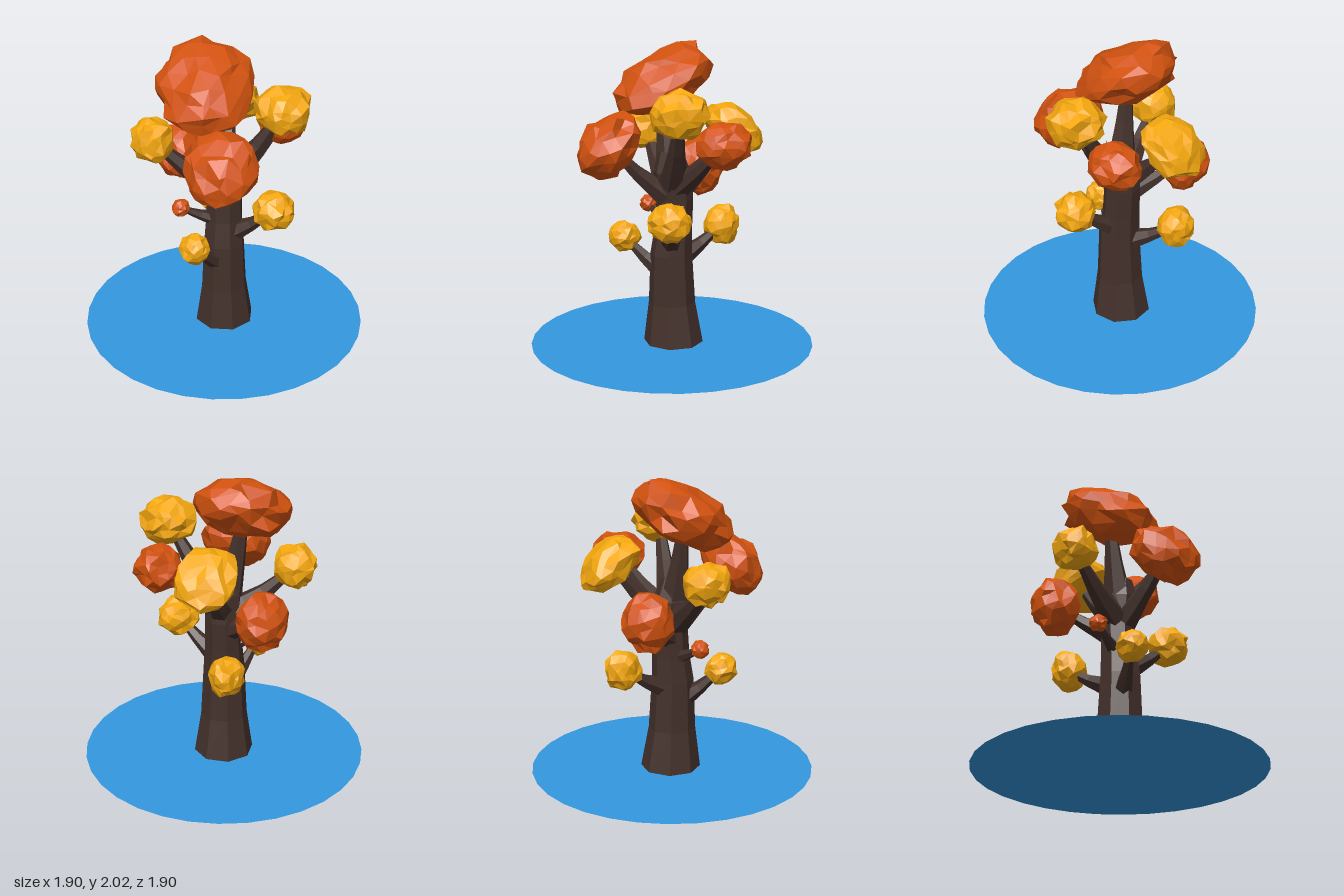
import * as THREE from 'three';

const mat = (color, extra = {}) => new THREE.MeshStandardMaterial({ color, flatShading: true, ...extra });
const BARK = mat(0x43302a);
const ORANGE = mat(0xd2520f);
const YELLOW = mat(0xf5a80f);
const BLUE = mat(0x3498e0, { side: THREE.DoubleSide });

function addMesh(group, name, geometry, material) {
  const mesh = new THREE.Mesh(geometry, material);
  mesh.name = name;
  group.add(mesh);
}

// Repeatable value in -1..1 from a position, so shared corners move together
function noise(v, seed) {
  const q = (n) => Math.round(n * 1000) / 1000;
  const s = Math.sin(q(v.x) * 127.1 + q(v.y) * 311.7 + q(v.z) * 74.7 + seed * 19.19) * 43758.5453;
  return (s - Math.floor(s)) * 2 - 1;
}

// Eight-sided trunk: each row is [y, centre z, radius]
function trunkGeometry() {
  const rows = [
    [0, -0.01, 0.2], [0.28, 0, 0.157], [0.62, 0.005, 0.14], [0.8, -0.01, 0.125],
    [1, -0.02, 0.122], [1.18, 0, 0.125], [1.32, 0.01, 0.08],
  ];
  const sides = 8;
  const geo = new THREE.CylinderGeometry(1, 1, 1, sides, rows.length - 1, true, Math.PI / sides);
  const p = geo.attributes.position;
  for (let i = 0; i < p.count; i++) {
    const [y, cz, r] = rows[rows.length - 1 - Math.floor(i / (sides + 1))];
    p.setXYZ(i, p.getX(i) * r, y, cz + p.getZ(i) * r);
  }
  geo.computeVertexNormals();
  return geo;
}

// Six-sided limb from inside the trunk to a clump, sagging slightly and thinning
function limbGeometry(center, rootY, radius) {
  const end = new THREE.Vector3(...center);
  const root = new THREE.Vector3(end.x * 0.1, rootY, end.z * 0.1);
  const bend = root.clone().lerp(end, 0.5);
  bend.y -= 0.07 * (end.y - rootY);
  const curve = new THREE.CatmullRomCurve3([root, bend, end]);
  const steps = 4, sides = 6;
  const geo = new THREE.TubeGeometry(curve, steps, 1, sides);
  const p = geo.attributes.position, v = new THREE.Vector3();
  for (let i = 0; i < p.count; i++) {
    const t = Math.floor(i / (sides + 1)) / steps;
    const c = curve.getPointAt(t);
    const r = radius * (0.33 + 0.67 * (1 - t) ** 1.5);
    v.fromBufferAttribute(p, i).sub(c).multiplyScalar(r).add(c);
    p.setXYZ(i, v.x, v.y, v.z);
  }
  geo.computeVertexNormals();
  return geo;
}

// Rough faceted clump with given half sizes; slope leans it down towards +z
function clumpGeometry(center, [hx, hy, hz], slope, seed) {
  const geo = new THREE.IcosahedronGeometry(0.97, 2);
  const p = geo.attributes.position, v = new THREE.Vector3(), o = new THREE.Vector3();
  const thick = Math.sqrt(hy * hy - (slope * hz) ** 2);
  for (let i = 0; i < p.count; i++) {
    v.fromBufferAttribute(p, i);
    o.set(noise(v, seed), noise(v, seed + 1), noise(v, seed + 2));
    v.addScaledVector(o, 0.12);
    p.setXYZ(i, v.x * hx, v.y * thick - v.z * hz * slope, v.z * hz);
  }
  geo.translate(...center);
  geo.computeVertexNormals();
  return geo;
}

export function createModel() {
  const tree = new THREE.Group();
  tree.name = 'tree';

  // Round ground disc
  const disc = new THREE.CircleGeometry(0.95, 32);
  disc.rotateX(-Math.PI / 2);
  addMesh(tree, 'groundDisc', disc, BLUE);

  addMesh(tree, 'trunk', trunkGeometry(), BARK);

  // A limb with a clump of leaves at its end
  let seed = 3;
  function addBough(name, color, center, half, rootY, radius, slope = 0) {
    const bough = new THREE.Group();
    bough.name = name + 'Bough';
    addMesh(bough, name + 'Limb', limbGeometry(center, rootY, radius), BARK);
    addMesh(bough, name + 'Foliage', clumpGeometry(center, half, slope, seed), color);
    tree.add(bough);
    seed += 7;
  }

  // Upper boughs
  addBough('crown', ORANGE, [-0.13, 1.765, 0.035], [0.31, 0.235, 0.335], 1.12, 0.11, 0.35);
  addBough('front', ORANGE, [0.01, 1.385, 0.42], [0.23, 0.215, 0.215], 1.02, 0.09, 0.3);
  addBough('upperLeft', YELLOW, [0.385, 1.63, 0.055], [0.185, 0.16, 0.185], 1.12, 0.1);
  addBough('backLeft', ORANGE, [0.375, 1.42, -0.24], [0.155, 0.155, 0.18], 1.08, 0.09);
  addBough('back', YELLOW, [0.015, 1.455, -0.42], [0.205, 0.175, 0.195], 1.05, 0.09, -0.45);
  addBough('upperRight', YELLOW, [-0.465, 1.385, 0.06], [0.14, 0.15, 0.16], 1.03, 0.1);

  // Lower boughs
  addBough('backRight', ORANGE, [-0.32, 1.135, -0.28], [0.17, 0.2, 0.17], 0.92, 0.08);
  addBough('smallRight', ORANGE, [-0.28, 0.9, 0.09], [0.06, 0.06, 0.06], 0.78, 0.06);
  addBough('middleLeft', YELLOW, [0.34, 0.92, 0.11], [0.14, 0.13, 0.14], 0.68, 0.08);
  addBough('lowFront', YELLOW, [-0.17, 0.71, 0.285], [0.1, 0.105, 0.115], 0.46, 0.08);
  addBough('lowBack', YELLOW, [-0.11, 0.76, -0.38], [0.12, 0.14, 0.12], 0.56, 0.08);

  return tree;
}
